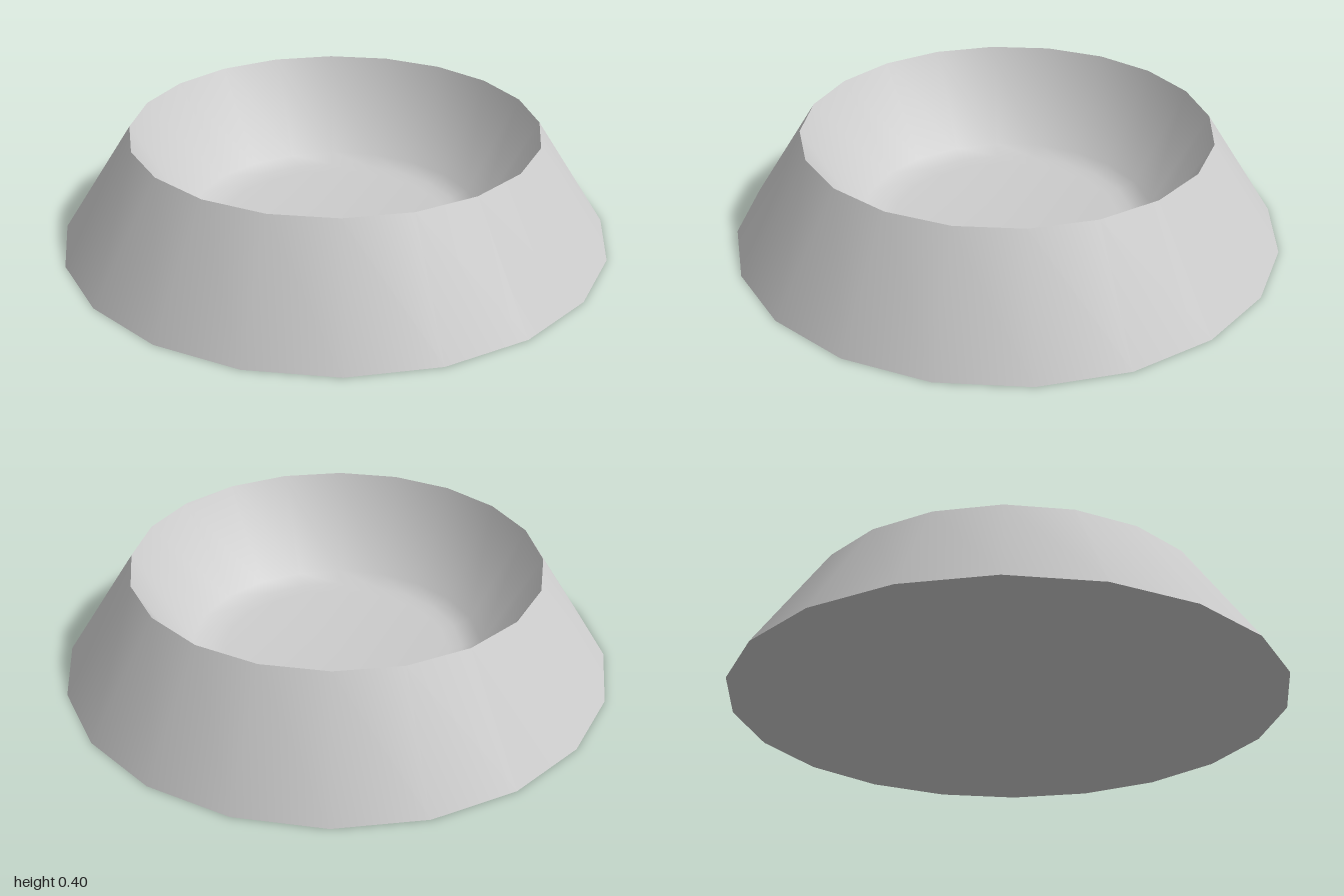
import * as THREE from 'three';
import { toCreasedNormals } from 'three/addons/utils/BufferGeometryUtils.js';

export function createModel() {
  const group = new THREE.Group();
  group.name = 'bowl';

  // Closed profile: underside, flared outside, sharp rim, inner wall, soft bevel, flat floor
  const profile = [
    [0, 0], [1, 0], [0.74, 0.4], [0.54, 0.05], [0.47, 0.027], [0.42, 0.02], [0, 0.02],
  ].map(([r, y]) => new THREE.Vector2(r, y));

  // 20 sides, smooth around, creased at the base and the rim
  const geometry = toCreasedNormals(
    new THREE.LatheGeometry(profile, 20),
    THREE.MathUtils.degToRad(52),
  );
  const bowl = new THREE.Mesh(geometry, new THREE.MeshStandardMaterial({ color: 0xcccccc }));
  bowl.name = 'bowlBody';
  group.add(bowl);
  return group;
}
